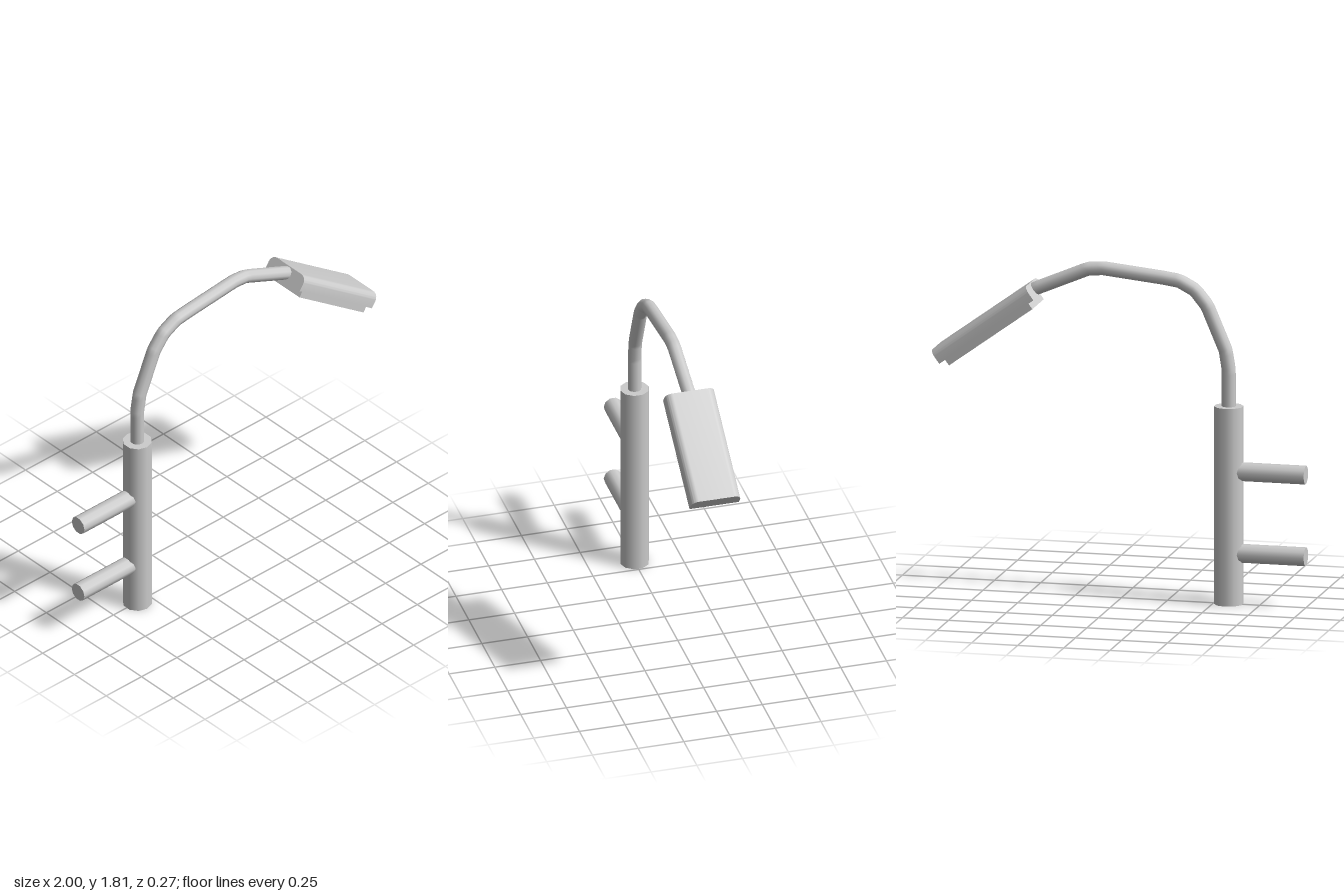
import * as THREE from 'three';
import { toCreasedNormals } from 'three/addons/utils/BufferGeometryUtils.js';

const SIDES = 10;
const POLE_X = -0.582;

export function createModel() {
  const model = new THREE.Group();
  model.name = 'streetLamp';
  const material = new THREE.MeshStandardMaterial({ color: 0xcccccc });

  const add = (parent, name, geometry, x = 0, y = 0, z = 0) => {
    const mesh = new THREE.Mesh(geometry, material);
    mesh.name = name;
    mesh.position.set(x, y, z);
    parent.add(mesh);
    return mesh;
  };

  // Upright sleeve
  add(model, 'pole', new THREE.CylinderGeometry(0.078, 0.078, 1.065, SIDES), POLE_X, 0.5325);

  // Two horizontal mounting pegs
  for (const [name, y] of [['lowerBracket', 0.275], ['upperBracket', 0.715]]) {
    const peg = new THREE.CylinderGeometry(0.05, 0.05, 0.4, SIDES).rotateZ(Math.PI / 2);
    add(model, name, peg, -0.8, y);
  }

  // Curved neck made of straight runs with short bends
  const points = [
    [POLE_X, 1.0], [POLE_X, 1.26], [-0.565, 1.365], [-0.465, 1.6], [-0.4, 1.68],
    [-0.315, 1.725], [-0.23, 1.737], [0.1, 1.771], [0.18, 1.764], [0.465, 1.643], [0.51, 1.615],
  ].map(([x, y]) => new THREE.Vector3(x, y, 0));
  const path = new THREE.CurvePath();
  for (let i = 1; i < points.length; i++) path.add(new THREE.LineCurve3(points[i - 1], points[i]));
  add(model, 'neck', new THREE.TubeGeometry(path, 64, 0.037, SIDES, false));

  // Tilted lamp head: local x runs along the head, local y through its thickness
  const head = new THREE.Group();
  head.name = 'lampHead';
  head.position.set(0.723, 1.456, 0);
  head.rotation.z = -0.627;
  model.add(head);

  // Housing: cross-section with rounded upper corners
  const w = 0.135, h = 0.041, r = 0.04, length = 0.63;
  const section = new THREE.Shape();
  section.moveTo(-w, -h);
  section.lineTo(w, -h);
  section.lineTo(w, h - r);
  section.absarc(w - r, h - r, r, 0, Math.PI / 2, false);
  section.lineTo(-w + r, h);
  section.absarc(-w + r, h - r, r, Math.PI / 2, Math.PI, false);
  section.closePath();
  const housing = new THREE.ExtrudeGeometry(section, { depth: length, bevelEnabled: false, curveSegments: 5 });
  housing.translate(0, 0, -length / 2).rotateY(Math.PI / 2);
  add(head, 'housing', toCreasedNormals(housing, 0.6));

  // Light panel set slightly in from the housing edge
  add(head, 'lightPanel', new THREE.BoxGeometry(length - 0.072, 0.05, 2 * w - 0.02), 0, -h - 0.011);

  return model;
}
